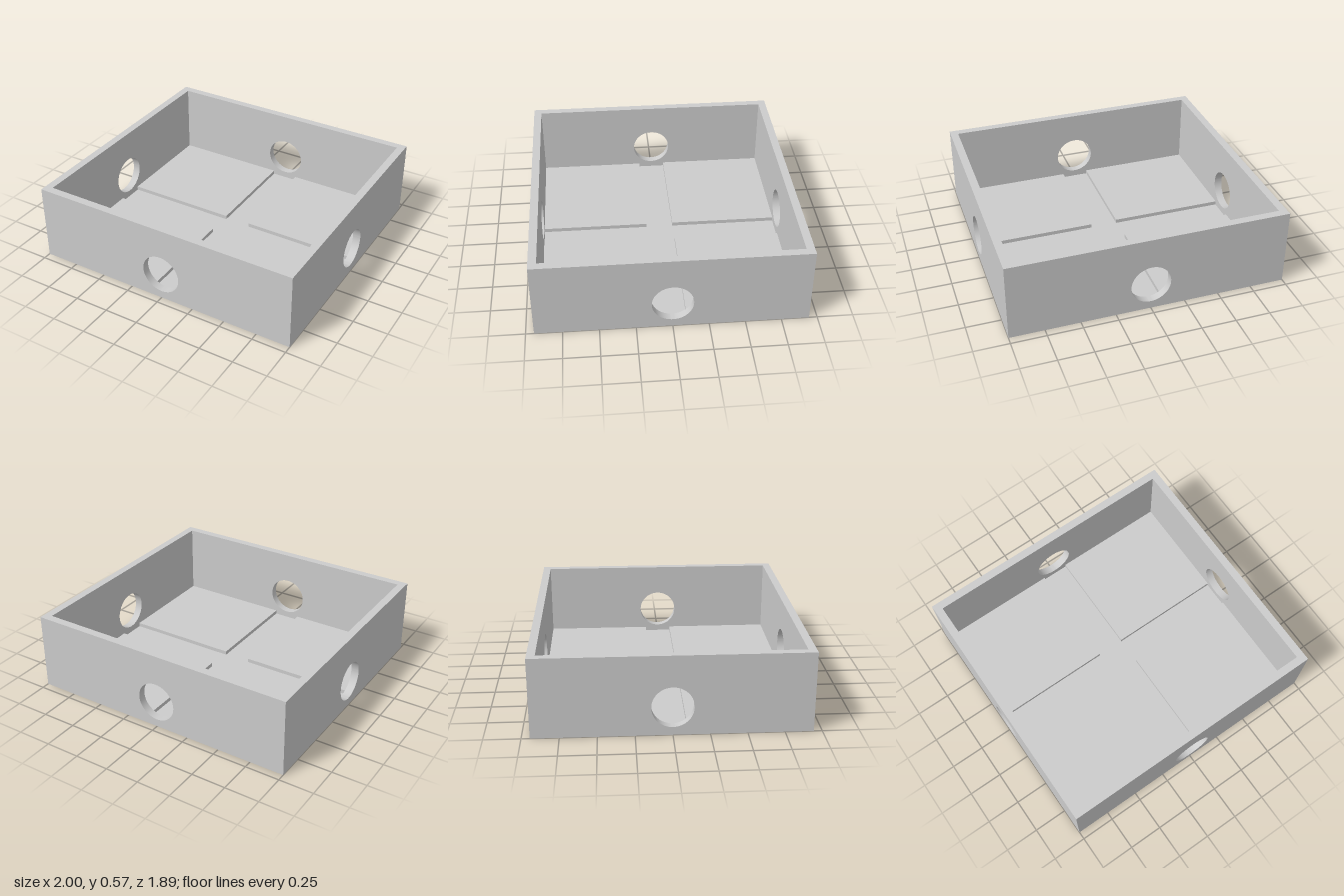
import * as THREE from 'three';
import { toCreasedNormals } from 'three/addons/utils/BufferGeometryUtils.js';

const HALF_X = 1, HALF_Z = 0.943, HEIGHT = 0.566, WALL = 0.057;
const HOLE_Y = 0.2, HOLE_R = 0.143;
const FLOOR = 0.008, PAD = 0.029, CHANNEL = 0.1;

export function createModel() {
  const model = new THREE.Group();
  const material = new THREE.MeshStandardMaterial({ color: 0xcccccc });

  function add(name, geometry, x, y, z, turn = 0) {
    const mesh = new THREE.Mesh(geometry, material);
    mesh.name = name;
    mesh.position.set(x, y, z);
    mesh.rotation.y = turn;
    model.add(mesh);
  }

  // upright panel with a round opening, outer face at local z = 0
  function wall(halfLength) {
    const shape = new THREE.Shape();
    shape.moveTo(-halfLength, 0);
    shape.lineTo(halfLength, 0);
    shape.lineTo(halfLength, HEIGHT);
    shape.lineTo(-halfLength, HEIGHT);
    shape.closePath();
    const hole = new THREE.Path();
    hole.absarc(0, HOLE_Y, HOLE_R, 0, Math.PI * 2, true);
    shape.holes.push(hole);
    const geometry = new THREE.ExtrudeGeometry(shape, { depth: WALL, bevelEnabled: false, curveSegments: 48 });
    geometry.translate(0, 0, -WALL);
    return toCreasedNormals(geometry, 0.6);
  }

  // four walls; the side walls fit between the front and back
  const innerX = HALF_X - WALL, innerZ = HALF_Z - WALL;
  add('frontWall', wall(HALF_X), 0, 0, HALF_Z);
  add('backWall', wall(HALF_X), 0, 0, -HALF_Z, Math.PI);
  add('leftWall', wall(innerZ), HALF_X, 0, 0, Math.PI / 2);
  add('rightWall', wall(innerZ), -HALF_X, 0, 0, -Math.PI / 2);

  // thin floor
  add('floor', new THREE.BoxGeometry(innerX * 2, FLOOR, innerZ * 2), 0, FLOOR / 2, 0);

  // raised corner pads, leaving a cross of channels between the openings
  const padX = innerX - CHANNEL, padZ = innerZ - CHANNEL;
  const padGeometry = new THREE.BoxGeometry(padX, PAD, padZ);
  for (const sx of [-1, 1]) {
    for (const sz of [-1, 1]) {
      const name = (sz > 0 ? 'front' : 'back') + (sx > 0 ? 'Left' : 'Right') + 'Pad';
      add(name, padGeometry, sx * (CHANNEL + padX / 2), FLOOR + PAD / 2, sz * (CHANNEL + padZ / 2));
    }
  }
  return model;
}
